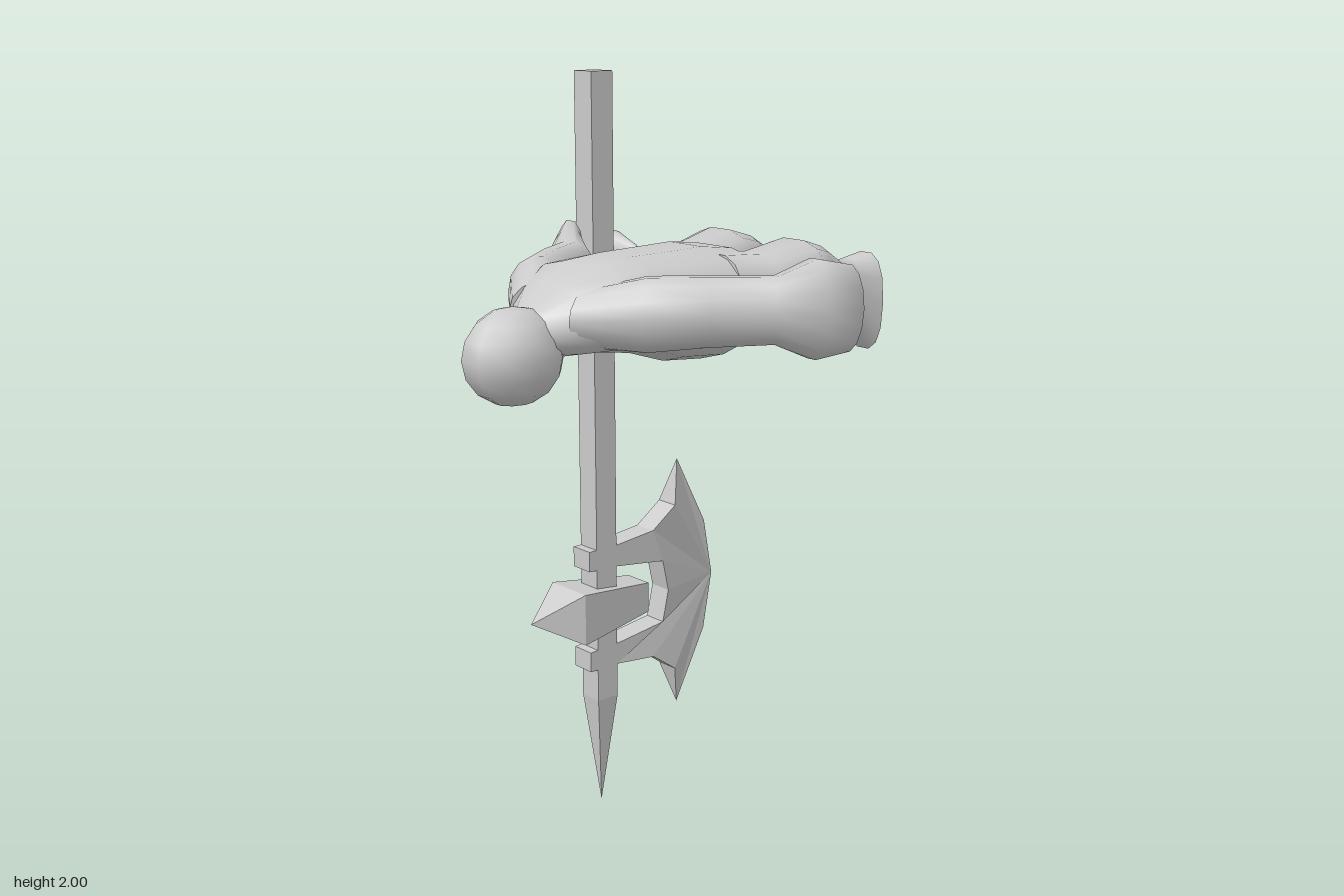
import * as THREE from 'three';

const smooth = new THREE.MeshStandardMaterial({ color: 0xcccccc });
const faceted = new THREE.MeshStandardMaterial({ color: 0xcccccc, flatShading: true });

function addMesh(parent, name, geometry, material) {
  const mesh = new THREE.Mesh(geometry, material);
  mesh.name = name;
  parent.add(mesh);
  return mesh;
}

// Skin through upright oval sections [ax, az, bx, bz, y, halfHeight]; a and b are the two flanks.
// power < 1 makes the ovals boxier.
function loft(sections, power = 1, sides = 14) {
  const pos = [], index = [];
  const bend = (v) => Math.sign(v) * Math.abs(v) ** power;
  const ring = ([ax, az, bx, bz, y, h]) => {
    for (let j = 0; j < sides; j++) {
      const t = (j / sides) * Math.PI * 2;
      const k = (1 + bend(Math.cos(t))) / 2;
      pos.push(ax + (bx - ax) * k, y + h * bend(Math.sin(t)), az + (bz - az) * k);
    }
  };
  sections.forEach(ring);
  for (let i = 0; i < sections.length - 1; i++) {
    for (let j = 0; j < sides; j++) {
      const a = i * sides + j, b = i * sides + (j + 1) % sides;
      index.push(a, a + sides, b, b, a + sides, b + sides);
    }
  }
  // End caps with their own vertices, so their rims stay sharp
  for (const end of [0, sections.length - 1]) {
    const s = sections[end], first = pos.length / 3, centre = first + sides;
    ring(s);
    pos.push((s[0] + s[2]) / 2, s[4], (s[1] + s[3]) / 2);
    for (let j = 0; j < sides; j++) {
      const a = first + j, b = first + (j + 1) % sides;
      if (end === 0) index.push(centre, a, b);
      else index.push(centre, b, a);
    }
  }
  const g = new THREE.BufferGeometry();
  g.setAttribute('position', new THREE.Float32BufferAttribute(pos, 3));
  g.setIndex(index);
  g.computeVertexNormals();
  return g;
}

const mirror = (sections) => sections.map(([ax, az, bx, bz, y, h]) => [-bx, bz, -ax, az, y, h]);
// Section lying square across z: [x, y, z, halfWidth, halfHeight]
const across = ([x, y, z, w, h]) => [x - w, z, x + w, z, y, h];

function createFigure() {
  const figure = new THREE.Group();
  figure.name = 'figure';

  const head = addMesh(figure, 'head', new THREE.SphereGeometry(1, 10, 8), smooth);
  head.scale.set(0.102, 0.112, 0.125);
  head.position.set(0, 1.41, 0.441);

  addMesh(figure, 'torso', loft([
    [0, 1.455, 0.40, 0.07, 0.05],
    [0, 1.48, 0.33, 0.15, 0.08],
    [0, 1.50, 0.25, 0.2, 0.1],
    [0, 1.497, 0.15, 0.185, 0.113],
    [0, 1.482, 0.05, 0.2, 0.13],
    [0, 1.478, -0.07, 0.205, 0.137],
    [0, 1.487, -0.17, 0.2, 0.115],
  ].map(across), 0.85), smooth);

  // Arm running from the shoulder into a curled hand
  const arm = [
    [0.05, 0.22, 0.11, 0.37, 1.49, 0.065],
    [0.15, 0.17, 0.25, 0.27, 1.505, 0.085],
    [0.225, 0.085, 0.335, 0.156, 1.51, 0.08],
    [0.31, -0.05, 0.42, 0.035, 1.51, 0.077],
    [0.375, -0.06, 0.49, -0.06, 1.515, 0.115],
    [0.42, -0.13, 0.49, -0.165, 1.51, 0.1],
    [0.41, -0.17, 0.42, -0.235, 1.52, 0.07],
    [0.335, -0.2, 0.345, -0.215, 1.52, 0.04],
  ];
  // Thumb web sloping in from the wrist
  const thumb = [
    [0.315, -0.02, 0.40, 0.02, 1.5, 0.05],
    [0.305, -0.06, 0.42, -0.05, 1.48, 0.05],
    [0.395, -0.12, 0.43, -0.13, 1.45, 0.03],
  ];
  // Leg from the hip through the calf to a foot with the toes pointing down
  const leg = [
    [0.1, 1.49, -0.08, 0.09, 0.11],
    [0.113, 1.49, -0.19, 0.106, 0.105],
    [0.129, 1.52, -0.305, 0.116, 0.098],
    [0.123, 1.515, -0.385, 0.07, 0.08],
    [0.12, 1.487, -0.47, 0.052, 0.057],
    [0.123, 1.465, -0.505, 0.055, 0.085],
    [0.128, 1.437, -0.567, 0.063, 0.125],
  ].map(across);

  for (const [side, place] of [['left', (s) => s], ['right', mirror]]) {
    addMesh(figure, side + 'Arm', loft(place(arm)), smooth);
    addMesh(figure, side + 'Thumb', loft(place(thumb), 1, 6), smooth);
    addMesh(figure, side + 'Leg', loft(place(leg), 0.8), smooth);
  }
  return figure;
}

function createAxe() {
  const axe = new THREE.Group();
  axe.name = 'axe';
  axe.position.set(-0.384, 0, -0.104);
  const half = 0.034, diagonal = Math.SQRT2;
  const square = (top, bottom, height) =>
    new THREE.CylinderGeometry(top * diagonal, bottom * diagonal, height, 4).rotateY(Math.PI / 4);

  addMesh(axe, 'shaft', new THREE.BoxGeometry(half * 2, 1.68, half * 2), faceted).position.y = 1.16;
  addMesh(axe, 'spike', square(half, 0, 0.32), faceted).position.y = 0.16;

  // Hammer on the front: tapered block with a pyramid face
  const hammer = new THREE.Group();
  hammer.name = 'hammer';
  hammer.position.set(0, 0.584, 0.104);
  addMesh(hammer, 'hammerBlock', square(0.071, 0.042, 0.245).rotateX(Math.PI / 2), faceted).position.z = -0.1225;
  addMesh(hammer, 'hammerPoint', square(0, 0.071, 0.128).rotateX(Math.PI / 2), faceted).position.z = 0.064;
  axe.add(hammer);

  // Crescent blade on two arms that wrap the shaft; upper half outline as [distance back, height]
  const upper = [
    [0.52, 0], [0.49, 0.163], [0.386, 0.364], [0.35, 0.243], [0.27, 0.186], [0.138, 0.172],
    [0.045, 0.172], [0.045, 0.116], [0.138, 0.112], [0.305, 0.09], [0.325, 0],
  ];
  const lower = upper.slice(1, -1).reverse().map(([d, h]) => [d, -h]);
  const outline = [...upper, ...lower].map(([d, h]) => new THREE.Vector2(d, h));
  const blade = new THREE.ExtrudeGeometry(new THREE.Shape(outline), { depth: half * 2, bevelEnabled: false });
  blade.translate(0, 0, -half);
  // Pinch the outer rim to a cutting edge
  const p = blade.attributes.position;
  for (let i = 0; i < p.count; i++) if (p.getX(i) > 0.38) p.setZ(i, 0);
  blade.rotateY(Math.PI / 2);
  blade.computeVertexNormals();
  addMesh(axe, 'blade', blade, faceted).position.set(0, 0.584, 0.104);
  return axe;
}

export function createModel() {
  const model = new THREE.Group();
  model.name = 'axeBearer';
  model.add(createFigure(), createAxe());
  return model;
}
